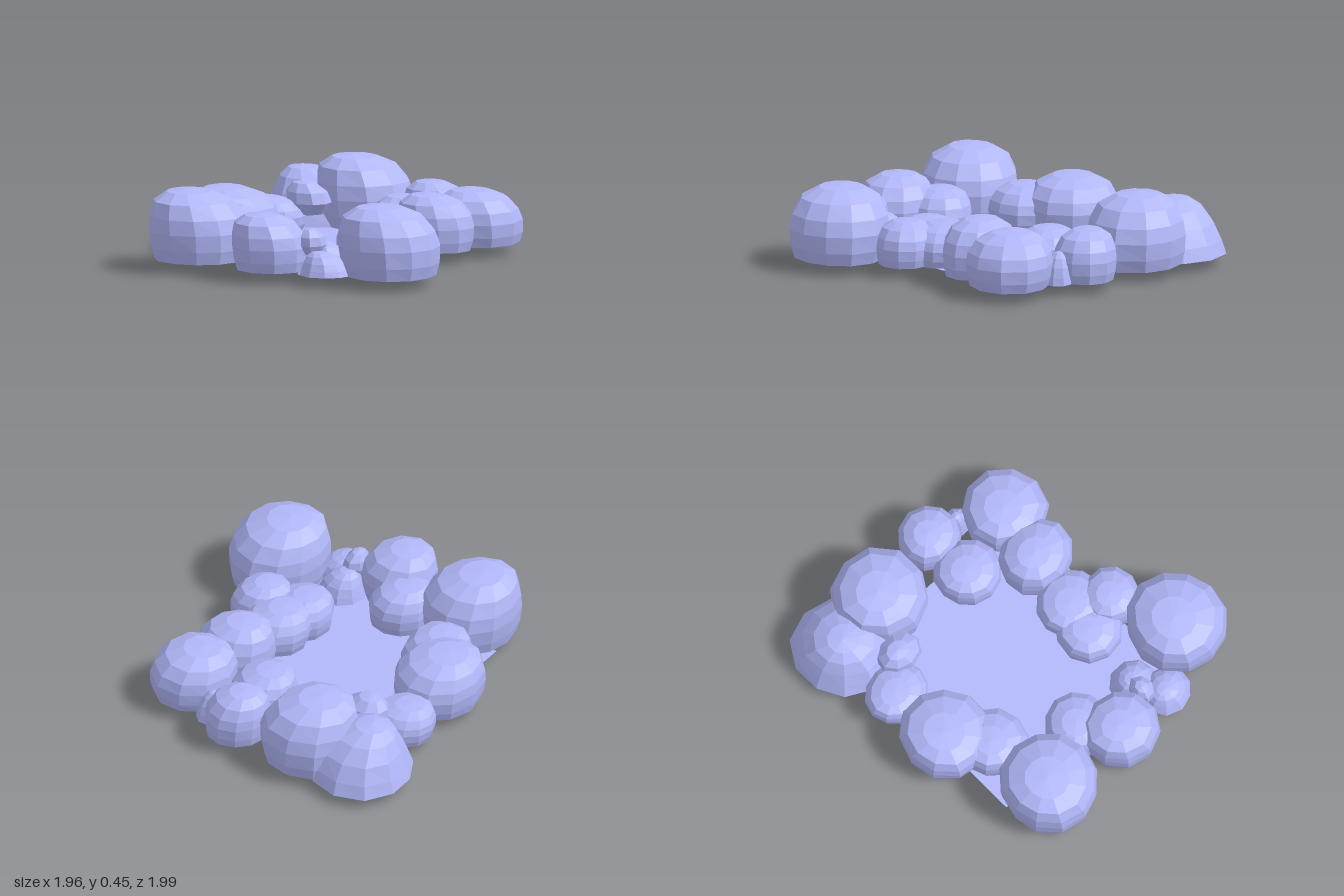
import * as THREE from 'three';

const material = new THREE.MeshStandardMaterial({ color: 0xb2b8fa, flatShading: true, side: THREE.DoubleSide });
const BASE = 0.06;

// Outlines from rim to crown, as [radius, height] fractions
const BOULDER = [[0.9, 0], [0.97, 0.18], [1, 0.42], [0.95, 0.63], [0.79, 0.84], [0.45, 0.97], [0, 1]];
const DOME = [[1, 0], [0.92, 0.24], [0.78, 0.54], [0.56, 0.8], [0.3, 0.95], [0, 1]];
const PEBBLE = [[0, 0], [0.65, 0.08], [1, 0.4], [0.9, 0.7], [0.5, 0.94], [0, 1]];

// Faceted rock: a turned outline with a gentle wobble, its crown leaning to the front right
function rock(name, outline, x, z, rx, rz, top, seed, sides = 11, bottom = BASE) {
  const points = outline.map(([r, h]) => new THREE.Vector2(r, h));
  const geometry = new THREE.LatheGeometry(points, sides, seed * 0.7);
  const pos = geometry.attributes.position;
  for (let i = 0; i < pos.count; i++) {
    const px = pos.getX(i), py = pos.getY(i), pz = pos.getZ(i);
    const a = Math.atan2(pz, px);
    const k = 1 + 0.02 * Math.sin(2 * a + seed * 1.9) + 0.02 * Math.sin(3 * a + seed * 2.7 + py * 2);
    const lean = py ** 3;
    pos.setXYZ(i, (px * k - 0.2 * lean) * rx, py * (top - bottom), (pz * k + 0.15 * lean) * rz);
  }
  geometry.computeVertexNormals();
  const mesh = new THREE.Mesh(geometry, material);
  mesh.name = name;
  mesh.position.set(x, bottom, z);
  return mesh;
}

export function createModel() {
  const group = new THREE.Group();
  group.name = 'rockRing';

  // Flat floor inside the ring
  const floor = new THREE.Mesh(new THREE.PlaneGeometry(1.22, 1.24), material);
  floor.name = 'floor';
  floor.rotation.x = -Math.PI / 2;
  floor.position.set(-0.09, BASE, 0);
  group.add(floor);

  // Boulders: x, z, radius x, radius z, top height
  const boulders = [
    [-0.385, -0.73, 0.275, 0.28, 0.45],
    [0.06, -0.8, 0.185, 0.175, 0.34],
    [0.08, -0.51, 0.195, 0.185, 0.3],
    [0.475, -0.63, 0.24, 0.245, 0.36],
    [0.41, -0.31, 0.225, 0.2, 0.37],
    [0.37, 0.02, 0.205, 0.195, 0.28],
    [0.33, 0.2, 0.185, 0.19, 0.27],
    [0.55, 0.14, 0.17, 0.17, 0.3],
    [0.7, 0.51, 0.285, 0.285, 0.45],
    [0.05, 0.75, 0.225, 0.215, 0.37],
    [-0.1, 0.56, 0.185, 0.19, 0.3],
    [-0.46, 0.71, 0.28, 0.28, 0.45],
    [-0.51, 0.31, 0.2, 0.2, 0.3],
    [-0.67, 0.1, 0.25, 0.27, 0.36],
    [-0.69, -0.27, 0.19, 0.17, 0.25],
  ];
  boulders.forEach(([x, z, rx, rz, top], i) =>
    group.add(rock(`boulder${i + 1}`, BOULDER, x, z, rx, rz, top, i + 1, 10 + (i % 3))));

  // Wide-based domes
  group.add(rock('backDome', DOME, -0.69, -0.68, 0.31, 0.295, 0.37, 3, 11));
  group.add(rock('innerDome', DOME, 0.31, 0.57, 0.14, 0.13, 0.22, 5, 9));
  group.add(rock('frontDome', DOME, 0.41, 0.73, 0.15, 0.14, 0.19, 8, 10));
  group.add(rock('smallBackDome', DOME, 0.25, -0.78, 0.08, 0.08, 0.24, 4, 8));

  // Small stones wedged between the boulders
  group.add(rock('frontPebble', PEBBLE, 0.285, 0.67, 0.07, 0.085, 0.3, 2, 7, 0.14));
  group.add(rock('leftPebble', PEBBLE, -0.54, -0.41, 0.14, 0.11, 0.33, 6, 9, 0.13));

  // Thin chip poking out beneath the floor
  const outline = new THREE.Shape([[0.04, 0.06], [0.1, 0], [0.1, 0.03], [0.17, 0.03], [0.2, 0.06]]
    .map(([x, y]) => new THREE.Vector2(x, y)));
  const chip = new THREE.Mesh(new THREE.ExtrudeGeometry(outline, { depth: 0.03, bevelEnabled: false }), material);
  chip.name = 'chip';
  chip.position.z = 0.53;
  group.add(chip);

  return group;
}
